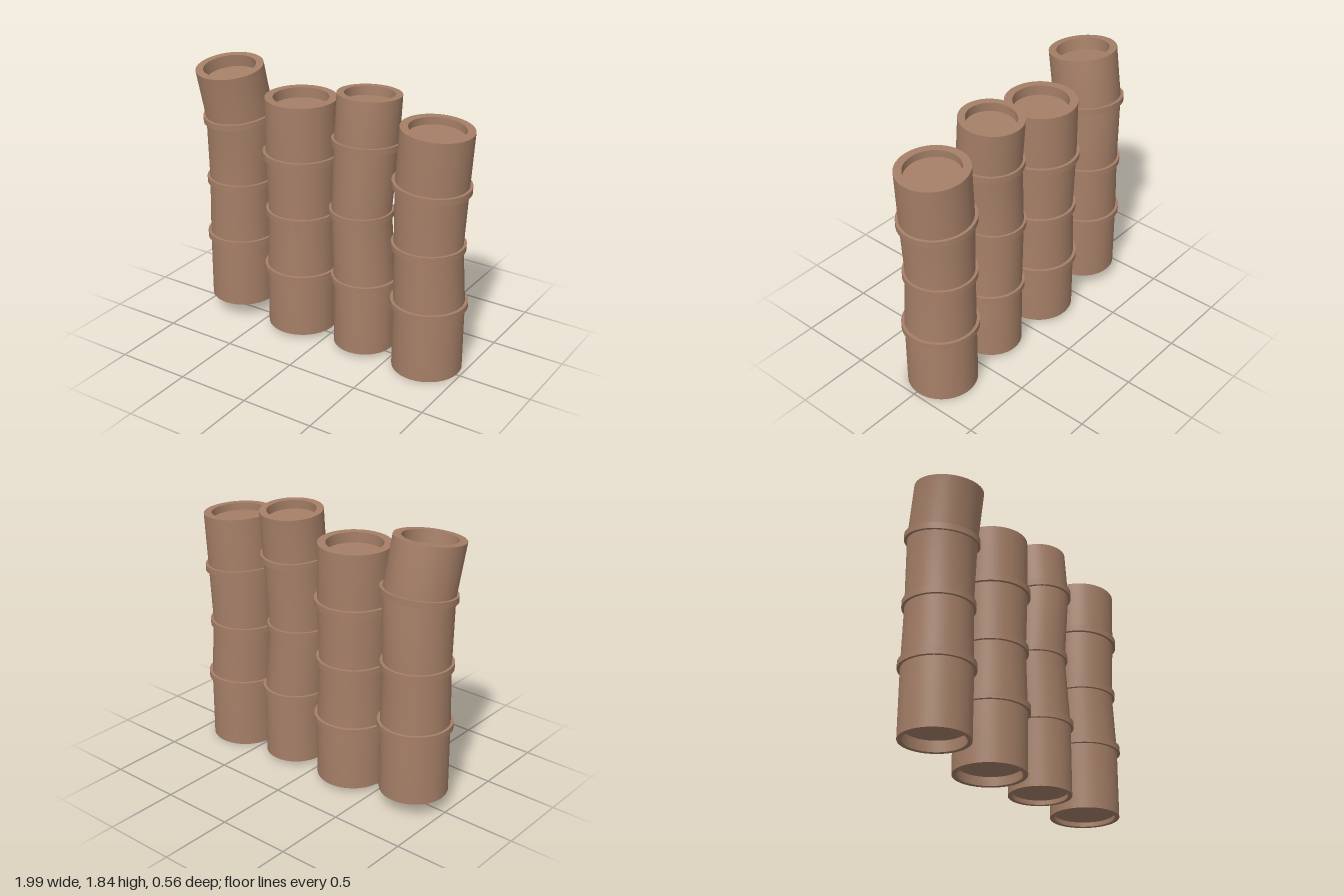
import * as THREE from 'three';
import { toCreasedNormals } from 'three/addons/utils/BufferGeometryUtils.js';

const SIDES = 48;

// Each stalk: radius, depth of the bottom and top hollows, and its joints from
// foot to top as [x, y, z, tilt towards +x, tilt towards +z, radius scale].
const STALKS = [
  { radius: 0.225, under: 0.075, over: 0.08, joints: [
    [-0.755, 0.11, -0.018, 0, 0, 1], [-0.752, 0.585, -0.018, 0, 0, 1], [-0.752, 0.998, -0.018, 0, 0, 0.955],
    [-0.745, 1.467, -0.013, -0.04, 0.13, 1], [-0.766, 1.81, 0.053, -0.02, 0.135, 1]] },
  { radius: 0.237, under: 0.06, over: 0.07, joints: [
    [-0.247, 0.035, -0.02, 0, 0, 1], [-0.247, 0.465, -0.02, 0, 0, 1], [-0.246, 0.877, -0.02, 0, 0, 0.947],
    [-0.247, 1.285, -0.02, 0, 0, 1], [-0.247, 1.675, -0.02, 0, 0, 1]] },
  { radius: 0.208, under: 0.03, over: 0.06, joints: [
    [0.257, 0.03, -0.02, 0, 0, 1], [0.255, 0.515, -0.02, 0, 0, 1], [0.222, 0.987, -0.02, 0, 0, 0.945],
    [0.255, 1.472, -0.02, 0, -0.06, 1], [0.257, 1.788, -0.046, 0, -0.06, 1]] },
  { radius: 0.233, under: 0.03, over: 0.05, joints: [
    [0.742, 0.002, -0.018, 0, 0, 1], [0.742, 0.474, -0.018, 0, 0, 1], [0.725, 0.877, -0.018, 0, 0, 0.95],
    [0.735, 1.288, -0.018, 0.068, 0, 1], [0.757, 1.664, -0.022, 0.065, 0, 1]] },
];

// Turn a profile, then shift and tilt every level by the frame found for its height
function bentLathe(profile, frameAt) {
  const geometry = new THREE.LatheGeometry(profile.map(([r, y]) => new THREE.Vector2(r, y)), SIDES);
  const pos = geometry.attributes.position;
  for (let i = 0; i < pos.count; i++) {
    const x = pos.getX(i), y = pos.getY(i), z = pos.getZ(i);
    const [cx, cz, tx, tz] = frameAt(y);
    pos.setXYZ(i, cx + x, y - tx * x - tz * z, cz + z);
  }
  return toCreasedNormals(geometry, 0.6);
}

// Blend the two joints that enclose a height
function jointFrame(joints, y) {
  let i = 0;
  while (i < joints.length - 2 && y > joints[i + 1][1]) i++;
  const a = joints[i], b = joints[i + 1];
  const t = THREE.MathUtils.clamp((y - a[1]) / (b[1] - a[1]), 0, 1);
  return [0, 2, 3, 4].map((k) => THREE.MathUtils.lerp(a[k], b[k], t));
}

export function createModel() {
  const model = new THREE.Group();
  model.name = 'stalkFence';
  const brown = new THREE.MeshStandardMaterial({ color: 0xa57f67 });
  brown.name = 'stalkBrown';

  STALKS.forEach(({ radius, under, over, joints }, n) => {
    const stalk = new THREE.Group();
    stalk.name = `stalk${n + 1}`;
    const foot = joints[0][1], top = joints[4][1];

    // Body with a hollow at each end
    const profile = [
      [0, foot + under], [radius * 0.87, foot + under], [radius * 0.87, foot],
      ...joints.map((j) => [radius * j[5], j[1]]),
      [radius * 0.775, top], [radius * 0.775, top - over], [0, top - over],
    ];
    const body = new THREE.Mesh(bentLathe(profile, (y) => jointFrame(joints, y)), brown);
    body.name = 'stalkBody';
    stalk.add(body);

    // Raised collars around the inner joints
    joints.slice(1, 4).forEach(([x, y, z, tx, tz, scale], k) => {
      const inner = radius * scale * 0.93, outer = radius * scale * 1.085, h = 0.021;
      const collar = new THREE.Mesh(bentLathe(
        [[inner, y - h], [outer, y - h], [outer, y + h], [inner, y + h]],
        () => [x, z, tx, tz]), brown);
      collar.name = `jointCollar${k + 1}`;
      stalk.add(collar);
    });
    model.add(stalk);
  });
  return model;
}
